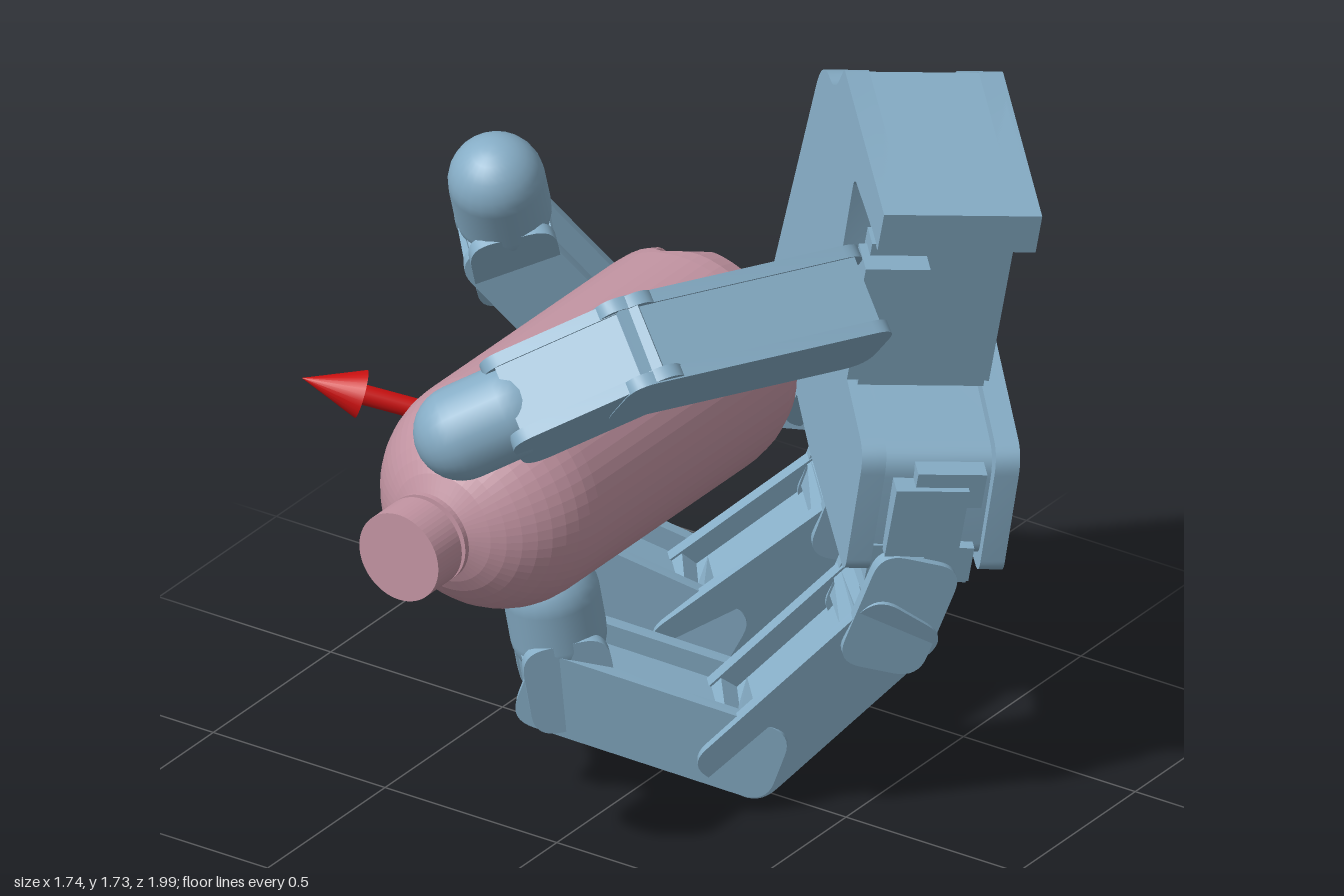
import * as THREE from 'three';
import { toCreasedNormals } from 'three/addons/utils/BufferGeometryUtils.js';

const V = (x, y, z) => new THREE.Vector3(x, y, z);
const blue = new THREE.MeshStandardMaterial({ color: 0x86adc6 });
const pink = new THREE.MeshStandardMaterial({ color: 0xc294a2, flatShading: true });
const red = new THREE.MeshStandardMaterial({ color: 0xcc1010 });

// palm frame: across the knuckles, up the palm, out of the palm
const U = V(0.685, -0.19, 0.703).normalize();
const F = V(-0.696, 0.114, 0.709).normalize();
const UP = F.clone().cross(U).normalize();

function add(parent, name, geometry, material = blue) {
  const mesh = new THREE.Mesh(geometry, material);
  mesh.name = name;
  parent.add(mesh);
  return mesh;
}

function box(parent, name, min, max) {
  const size = max.map((m, i) => m - min[i]);
  return add(parent, name, new THREE.BoxGeometry(...size).translate(
    ...max.map((m, i) => (m + min[i]) / 2)));
}

// closed outline with rounded corners from [x, y, radius] points
function roundedShape(points) {
  const shape = new THREE.Shape();
  const n = points.length;
  points.forEach((p, i) => {
    const cut = q => {
      const dx = q[0] - p[0], dy = q[1] - p[1], k = p[2] / Math.hypot(dx, dy);
      return [p[0] + dx * k, p[1] + dy * k];
    };
    const a = cut(points[(i + n - 1) % n]), b = cut(points[(i + 1) % n]);
    if (i) shape.lineTo(...a); else shape.moveTo(...a);
    shape.quadraticCurveTo(p[0], p[1], ...b);
  });
  return shape;
}

function slab(shape, z0, z1) {
  const g = new THREE.ExtrudeGeometry(shape, { depth: z1 - z0, bevelEnabled: false, curveSegments: 8 });
  return toCreasedNormals(g.translate(0, 0, z0), 0.6);
}

// finger link from a to b: two rounded cheeks, closed outside (+y), hollow with bars inside
function link(parent, name, a, b, axis, width, thick) {
  const dir = b.clone().sub(a), len = dir.length();
  dir.normalize();
  const z = axis.clone().addScaledVector(dir, -axis.dot(dir)).normalize();
  const y = z.clone().cross(dir);
  const g = new THREE.Group();
  g.name = name;
  const e = thick * 0.45, h = thick / 2, r = thick * 0.3;
  const cheek = roundedShape([[-e, -h, r], [len + e, -h, r], [len + e, h, r], [-e, h, r]]);
  const w = width / 2;
  add(g, 'leftCheek', slab(cheek, w * 0.72, w));
  add(g, 'rightCheek', slab(cheek, -w, -w * 0.72));
  box(g, 'core', [-e * 0.6, -h * 0.5, -w * 0.75], [len + e * 0.6, h * 0.95, w * 0.75]);
  for (const x of [-e * 0.4, len - e * 0.4]) {
    box(g, 'hingeBar', [x, -h * 0.95, -w * 0.75], [x + e * 0.8, 0, w * 0.75]);
  }
  g.applyMatrix4(new THREE.Matrix4().makeBasis(dir, y, z).setPosition(a));
  parent.add(g);
}

// cylinder with a domed end, running from a to the dome centre b
function fingertip(parent, a, b, r) {
  const dir = b.clone().sub(a), len = dir.length();
  const g = new THREE.CapsuleGeometry(r, len, 8, 24).translate(0, len / 2, 0);
  const tip = add(parent, 'fingertip', g);
  tip.position.copy(a);
  tip.quaternion.setFromUnitVectors(V(0, 1, 0), dir.normalize());
}

function finger(parent, name, joints, axis) {
  const g = new THREE.Group();
  g.name = name;
  const p = joints.map(j => V(...j)), n = p.length;
  for (let i = 0; i < n - 2; i++) {
    link(g, 'link' + (i + 1), p[i], p[i + 1], axis, 0.235 - 0.015 * (i % 2), 0.215 + 0.01 * (i % 2));
  }
  // short square socket below the dome
  const knuckle = p[n - 2], tip = p[n - 1], len = knuckle.distanceTo(tip);
  const socketEnd = knuckle.clone().lerp(tip, Math.max(0.05, len - 0.2) / len);
  link(g, 'tipSocket', knuckle, socketEnd, axis, 0.23, 0.215);
  fingertip(g, socketEnd.clone().lerp(tip, 0.4), tip, 0.118);
  parent.add(g);
}

function makePalm() {
  const palm = new THREE.Group();
  palm.name = 'palm';
  // C-shaped plate with the thumb opening on one side
  const thumbSide = (d) => [[0.797 - d, -0.916 + d, 0.04], [0.772 - d, -0.57 - d, 0.06],
    [0.28 - d, -0.525 - d, 0.03], [0.255 - d, -0.13, 0.03], [0.55, -0.1, 0.005], [0.56, 0, 0.005]];
  const plate = roundedShape([[0, 0, 0.01], [-0.05, -0.11, 0.06], [-0.2, -0.12, 0.1], [-0.295, -0.873, 0.03],
    [0.3, -0.925, 0.02], ...thumbSide(0)]);
  add(palm, 'backPlate', slab(plate, 0, 0.06));
  add(palm, 'palmPlate', slab(plate, 0.33, 0.39));
  // filling between the plates, leaving the wrist side open
  add(palm, 'palmCore', slab(roundedShape([[0.03, -0.01, 0.01], [0.03, -0.89, 0.01], [0.3, -0.89, 0.01],
    ...thumbSide(0.03)]), 0.06, 0.33));
  box(palm, 'topSlab', [0.01, -0.11, 0], [0.565, 0, 0.39]);
  // wrist side: shelf, motor and floor inside the open end
  box(palm, 'wristShelf', [-0.23, -0.56, 0.05], [0.04, -0.42, 0.34]);
  box(palm, 'wristMotor', [-0.25, -0.8, 0.1], [0.04, -0.6, 0.3]);
  box(palm, 'wristMotorLid', [-0.27, -0.74, 0.1], [0.04, -0.66, 0.34]);
  box(palm, 'wristFloor', [-0.26, -0.885, 0.05], [0.04, -0.83, 0.34]);
  // thumb motor inside the opening
  box(palm, 'thumbMotor', [0.25, -0.53, 0.06], [0.5, -0.1, 0.29]);
  box(palm, 'thumbFrame', [0.48, -0.52, 0.05], [0.545, -0.105, 0.4]);
  box(palm, 'thumbFrameLedge', [0.25, -0.54, 0.06], [0.54, -0.49, 0.37]);
  box(palm, 'thumbBracket', [0.5, -0.4, 0.26], [0.6, -0.14, 0.42]);
  // motor on the narrow side
  box(palm, 'sideMotor', [0.7, -0.86, 0.12], [0.8, -0.66, 0.3]);
  box(palm, 'sideMotorLid', [0.7, -0.72, 0.08], [0.785, -0.62, 0.25]);
  box(palm, 'sideMotorFoot', [0.7, -0.94, 0.08], [0.79, -0.84, 0.2]);
  // finger brackets along the lower edge
  for (const u of [-0.17, 0.25, 0.67]) {
    box(palm, 'fingerBracket', [u - 0.1, -0.96, 0.08], [u + 0.1, -0.85, 0.33]);
  }
  palm.applyMatrix4(new THREE.Matrix4().makeBasis(U, UP, F).setPosition(0.45, 1.675, -0.74));
  return palm;
}

function makeBottle() {
  const bottle = new THREE.Group();
  bottle.name = 'bottle';
  const profile = [[0, -0.3], [0.05, -0.31], [0.12, -0.33], [0.235, -0.33], [0.27, -0.3], [0.29, -0.24],
    [0.292, -0.2]];
  for (let i = 0; i <= 9; i++) {
    const a = i / 9 * 1.2;
    profile.push([0.292 * Math.cos(a), 0.57 + 0.28 * Math.sin(a)]);
  }
  profile.push([0.085, 0.84], [0.085, 0.87], [0.115, 0.87], [0.115, 0.885], [0.09, 0.885], [0.09, 0.9],
    [0.115, 0.9], [0.115, 1], [0, 1]);
  const g = new THREE.LatheGeometry(profile.map(p => new THREE.Vector2(...p)), 60).rotateX(Math.PI / 2);
  // five V-shaped grooves pressed into the base
  const pos = g.attributes.position, step = Math.PI * 2 / 5;
  for (let i = 0; i < pos.count; i++) {
    const x = pos.getX(i), y = pos.getY(i), z = pos.getZ(i), r = Math.hypot(x, y);
    if (z > -0.22 || r < 0.03) continue;
    const t = (Math.atan2(x, y) + 0.21) / step;
    const off = Math.abs(t - Math.round(t)) * step;
    const depth = Math.max(0, 1 - off / 0.25) * Math.min(1, (-0.22 - z) / 0.08);
    pos.setZ(i, z + depth * 0.11);
  }
  g.computeVertexNormals();
  add(bottle, 'bottleBody', g, pink);
  bottle.position.set(-0.118, 0.943, 0);
  return bottle;
}

function makeArrow() {
  const arrow = new THREE.Group();
  arrow.name = 'arrow';
  const start = V(-0.28, 0.98, 0.39), end = V(-0.647, 1.115, 0.64);
  const dir = end.clone().sub(start), len = dir.length(), head = 0.15;
  add(arrow, 'arrowShaft', new THREE.CylinderGeometry(0.025, 0.025, len - head, 20)
    .translate(0, (len - head) / 2, 0), red);
  add(arrow, 'arrowHead', new THREE.ConeGeometry(0.06, head, 24).translate(0, len - head / 2, 0), red);
  arrow.position.copy(start);
  arrow.quaternion.setFromUnitVectors(V(0, 1, 0), dir.normalize());
  return arrow;
}

export function createModel() {
  const model = new THREE.Group();
  model.name = 'roboticHandHoldingBottle';
  model.add(makePalm(), makeBottle(), makeArrow());
  // joint centres run from the palm to the dome
  finger(model, 'firstFinger', [[0.56, 0.62, -0.14], [0.52, 0.5, -0.12], [0.21, 0.135, 0], [-0.165, 0.28, 0.22],
    [-0.18, 0.505, 0.26]], U);
  finger(model, 'secondFinger', [[0.27, 0.7, -0.43], [0.23, 0.58, -0.42], [-0.11, 0.25, -0.28],
    [-0.455, 0.45, -0.06], [-0.485, 0.69, 0.03]], U);
  finger(model, 'thirdFinger', [[0.0, 0.8, -0.72], [-0.05, 0.72, -0.74], [-0.55, 0.7, -0.56],
    [-0.725, 1.03, -0.36], [-0.695, 1.245, -0.26]], U);
  finger(model, 'thumb', [[0.51, 1.4, 0.08], [0.28, 1.425, 0.57], [-0.04, 1.24, 0.845]],
    V(-0.65, 0.65, -0.35).normalize());
  return model;
}
